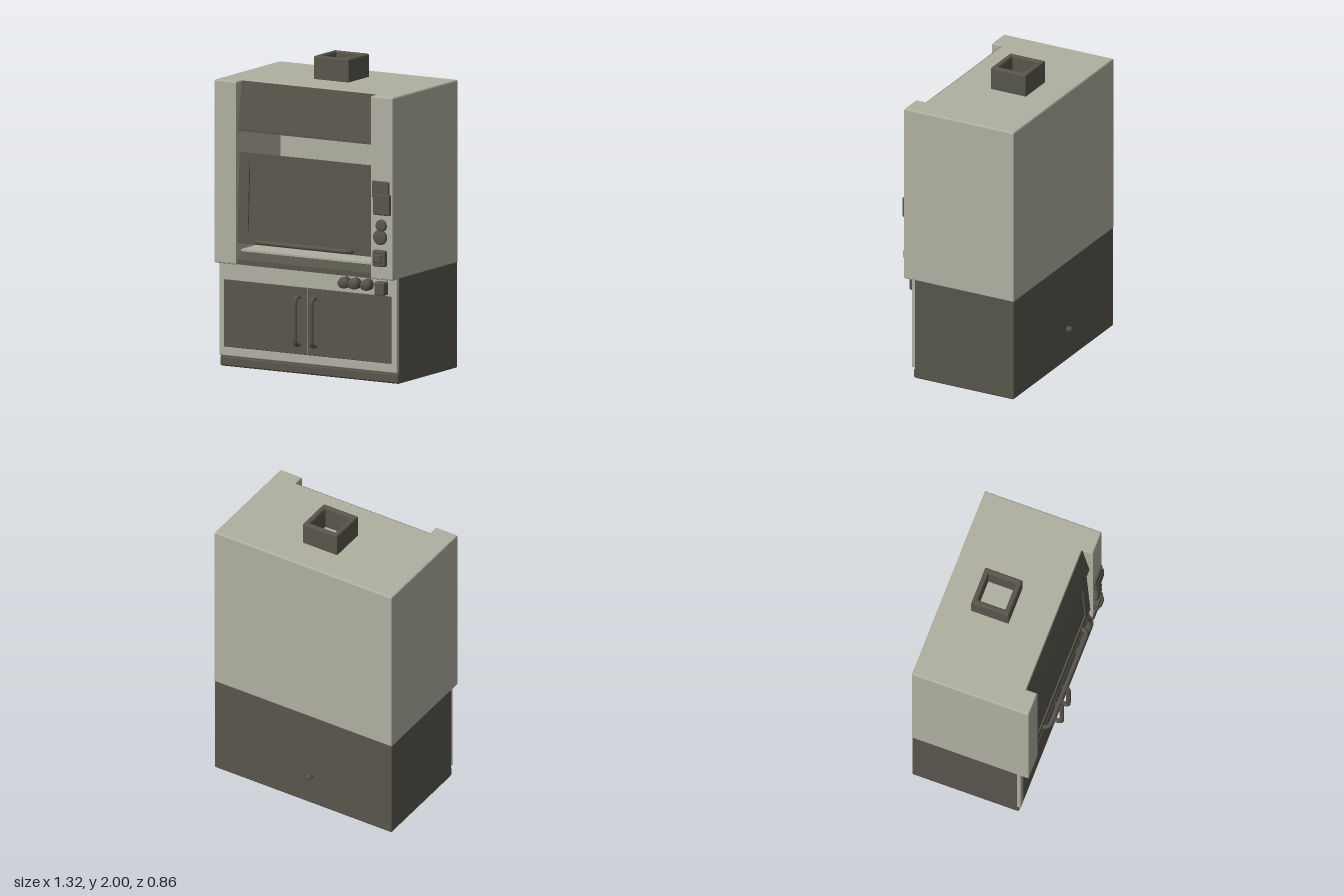
import * as THREE from 'three';
import { RoundedBoxGeometry } from 'three/addons/geometries/RoundedBoxGeometry.js';

export function createModel() {
  const model = new THREE.Group();
  const light = new THREE.MeshStandardMaterial({ name: 'light grey paint', color: 0xafafa1 });
  const dark = new THREE.MeshStandardMaterial({ name: 'dark grey paint', color: 0x57554b });

  const add = (name, geometry, material, x = 0, y = 0, z = 0) => {
    const mesh = new THREE.Mesh(geometry, material);
    mesh.name = name;
    mesh.position.set(x, y, z);
    model.add(mesh);
    return mesh;
  };
  // Rounded box given by its limits on each axis
  const block = (name, mat, [x0, x1], [y0, y1], [z0, z1], r = 0.008) =>
    add(name, new RoundedBoxGeometry(x1 - x0, y1 - y0, z1 - z0, 2, r), mat,
      (x0 + x1) / 2, (y0 + y1) / 2, (z0 + z1) / 2);
  // Side profile of [z, y] points, extruded across the width
  const across = (name, mat, width, points) => {
    const shape = new THREE.Shape(points.map(([z, y]) => new THREE.Vector2(z, y)));
    const g = new THREE.ExtrudeGeometry(shape, { depth: width, bevelEnabled: false });
    g.rotateY(-Math.PI / 2).translate(width / 2, 0, 0);
    return add(name, g, mat);
  };
  // Ground plan of [x, z] points with optional hole, extruded upward with a small bevel
  const toShape = (Type, points) => new Type(points.map(([x, z]) => new THREE.Vector2(x, -z)));
  const upward = (name, mat, y0, y1, bevel, points, hole) => {
    const shape = toShape(THREE.Shape, points);
    if (hole) shape.holes.push(toShape(THREE.Path, hole));
    const g = new THREE.ExtrudeGeometry(shape, {
      depth: y1 - y0 - 2 * bevel, bevelThickness: bevel, bevelSize: bevel,
      bevelOffset: -bevel, bevelSegments: 2,
    });
    g.rotateX(-Math.PI / 2).translate(0, y0 + bevel, 0);
    return add(name, g, mat);
  };
  const rect = (x, z0, z1) => [[-x, z1], [x, z1], [x, z0], [-x, z0]];

  // Lower cabinet, toe kick and pale front frame
  block('lowerCabinet', dark, [-0.66, 0.66], [0, 0.685], [-0.4, 0.315], 0.01);
  block('frontFrame', light, [-0.658, 0.658], [0.07, 0.68], [0.29, 0.335]);
  block('toeKick', dark, [-0.66, 0.66], [0.005, 0.062], [0.28, 0.322]);

  // Cabinet doors with rounded outer corners and bowed pull handles
  const bar = (name, points, r) => {
    const path = new THREE.CurvePath();
    const v = points.map((p) => new THREE.Vector3(...p));
    const bend = 0.04;
    const toward = (a, b) => a.clone().add(b.clone().sub(a).setLength(bend));
    path.add(new THREE.LineCurve3(v[0], toward(v[1], v[0])));
    path.add(new THREE.QuadraticBezierCurve3(toward(v[1], v[0]), v[1], toward(v[1], v[2])));
    path.add(new THREE.LineCurve3(toward(v[1], v[2]), toward(v[2], v[1])));
    path.add(new THREE.QuadraticBezierCurve3(toward(v[2], v[1]), v[2], toward(v[2], v[3])));
    path.add(new THREE.LineCurve3(toward(v[2], v[3]), v[3]));
    return add(name, new THREE.TubeGeometry(path, 60, r, 10), dark);
  };
  for (const s of [-1, 1]) {
    const x = s < 0 ? [-0.622, -0.002] : [0.002, 0.618];
    block(s < 0 ? 'rightDoor' : 'leftDoor', dark, x, [0.13, 0.562], [0.331, 0.34], 0.004);
    const hx = s * 0.06 - 0.004;
    bar(s < 0 ? 'rightDoorHandle' : 'leftDoorHandle',
      [[hx, 0.195, 0.33], [hx, 0.195, 0.39], [hx, 0.5, 0.39], [hx, 0.5, 0.33]], 0.015);
  }

  // Upper hood: U-shaped walls around the working chamber, plus the roof
  upward('hoodWalls', light, 0.672, 1.85, 0.01, [
    [-0.66, 0.388], [-0.5, 0.388], [-0.5, -0.15], [0.5, -0.15],
    [0.5, 0.388], [0.66, 0.388], [0.66, -0.4], [-0.66, -0.4],
  ]);
  block('hoodRoof', light, [-0.53, 0.53], [1.81, 1.85], [-0.3, 0.312], 0.004);

  // Sloped panel above the opening
  across('upperPanel', dark, 1, [[0.285, 1.53], [0.365, 1.53], [0.365, 1.545], [0.318, 1.845], [0.285, 1.845]]);

  // Work surface and sloping front sill
  across('workSurface', light, 1, [[-0.16, 0.675], [0.33, 0.675], [0.33, 0.765], [-0.16, 0.765]]);
  across('frontSill', dark, 1, [[0.3, 0.672], [0.368, 0.672], [0.368, 0.705], [0.34, 0.752], [0.3, 0.752]]);

  // Sliding sash: raised border around a recessed pane
  const sash = new THREE.Group();
  sash.name = 'sash';
  sash.position.set(0, 0.81, 0.35);
  sash.rotation.x = -0.045;
  model.add(sash);
  const border = new THREE.Shape([[-0.5, 0], [0.5, 0], [0.5, 0.58], [-0.5, 0.58]]
    .map((p) => new THREE.Vector2(...p)));
  border.holes.push(new THREE.Path([[-0.425, 0.07], [-0.425, 0.52], [0.425, 0.52], [0.425, 0.07]]
    .map((p) => new THREE.Vector2(...p))));
  const frame = add('sashFrame',
    new THREE.ExtrudeGeometry(border, { depth: 0.022, bevelEnabled: false }), dark);
  const pane = add('sashPane', new THREE.BoxGeometry(0.86, 0.46, 0.012), dark, 0, 0.295, 0.007);
  sash.add(frame, pane);
  bar('sashHandle', [[-0.35, 0.835, 0.36], [-0.35, 0.835, 0.41], [0.35, 0.835, 0.41], [0.35, 0.835, 0.36]], 0.015);

  // Square exhaust duct, open at the top
  upward('exhaustDuct', dark, 1.84, 2, 0.01, rect(0.128, -0.198, 0.053), rect(0.094, -0.166, 0.02));

  // Control boxes on the left column and the cabinet front
  block('upperSwitchBox', dark, [0.512, 0.636], [1.2, 1.307], [0.37, 0.405]);
  block('upperSocket', dark, [0.525, 0.646], [1.09, 1.225], [0.37, 0.41]);
  block('lowerSocket', dark, [0.522, 0.618], [0.76, 0.865], [0.37, 0.418], 0.012);
  block('lowerSocketButton', dark, [0.54, 0.6], [0.785, 0.84], [0.4, 0.43]);
  block('cabinetSocket', dark, [0.52, 0.594], [0.57, 0.655], [0.32, 0.388]);

  // Round knobs with softened rims
  const knob = (name, x, y, z, r, depth) => {
    const profile = [[0, 0], [r, 0], [r, depth * 0.65], [r * 0.8, depth], [0, depth]]
      .map((p) => new THREE.Vector2(...p));
    return add(name, new THREE.LatheGeometry(profile, 20).rotateX(Math.PI / 2), dark, x, y, z);
  };
  knob('columnKnobTop', 0.578, 1.022, 0.38, 0.039, 0.03);
  knob('columnKnobBottom', 0.57, 0.947, 0.38, 0.049, 0.03);
  [0.286, 0.361, 0.451].forEach((x, i) => knob(`cabinetKnob${i + 1}`, x, 0.626, 0.33, 0.037, 0.067));

  // Small outlet at the rear
  knob('rearOutlet', -0.055, 0.213, -0.395, 0.019, 0.036).rotation.y = Math.PI;

  return model;
}
